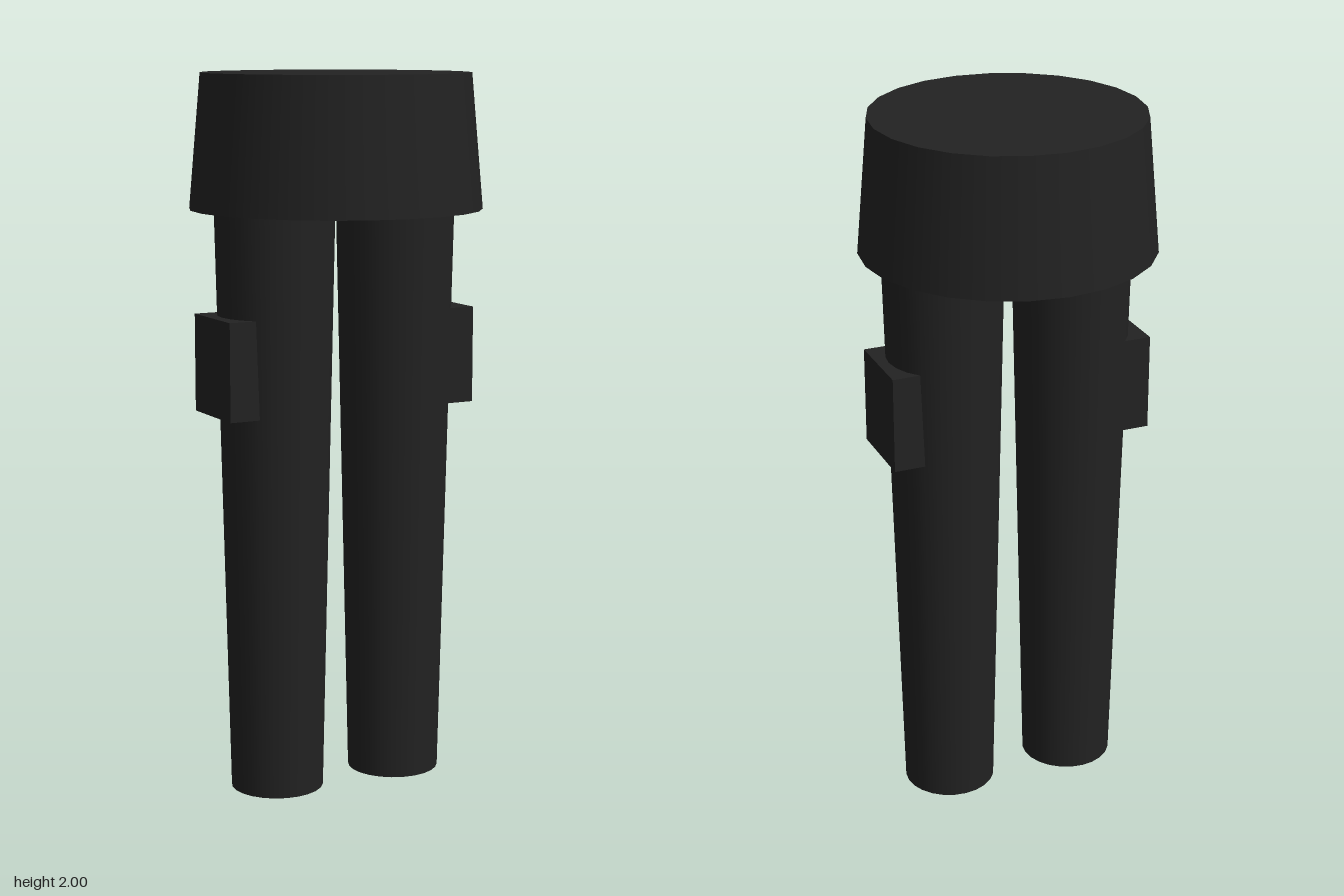
import * as THREE from 'three';

export function createModel() {
  const group = new THREE.Group();
  const charcoal = new THREE.MeshStandardMaterial({ color: 0x222222 });
  charcoal.name = 'charcoal cloth';

  const add = (name, geometry, x, y) => {
    const mesh = new THREE.Mesh(geometry, charcoal);
    mesh.name = name;
    mesh.position.set(x, y, 0);
    group.add(mesh);
  };

  // Hips: a wide band flaring slightly downwards
  add('hips', new THREE.CylinderGeometry(0.372, 0.405, 0.37, 24), 0, 1.815);

  // Tapered trouser legs, each with a side pocket
  const legHeight = 1.65;
  for (const [side, s] of [['left', 1], ['right', -1]]) {
    add(side + 'Leg', new THREE.CylinderGeometry(0.166, 0.13, legHeight, 24), s * 0.188, legHeight / 2);
    add(side + 'Pocket', new THREE.BoxGeometry(0.113, 0.27, 0.226), s * 0.3215, 1.212);
  }

  return group;
}
